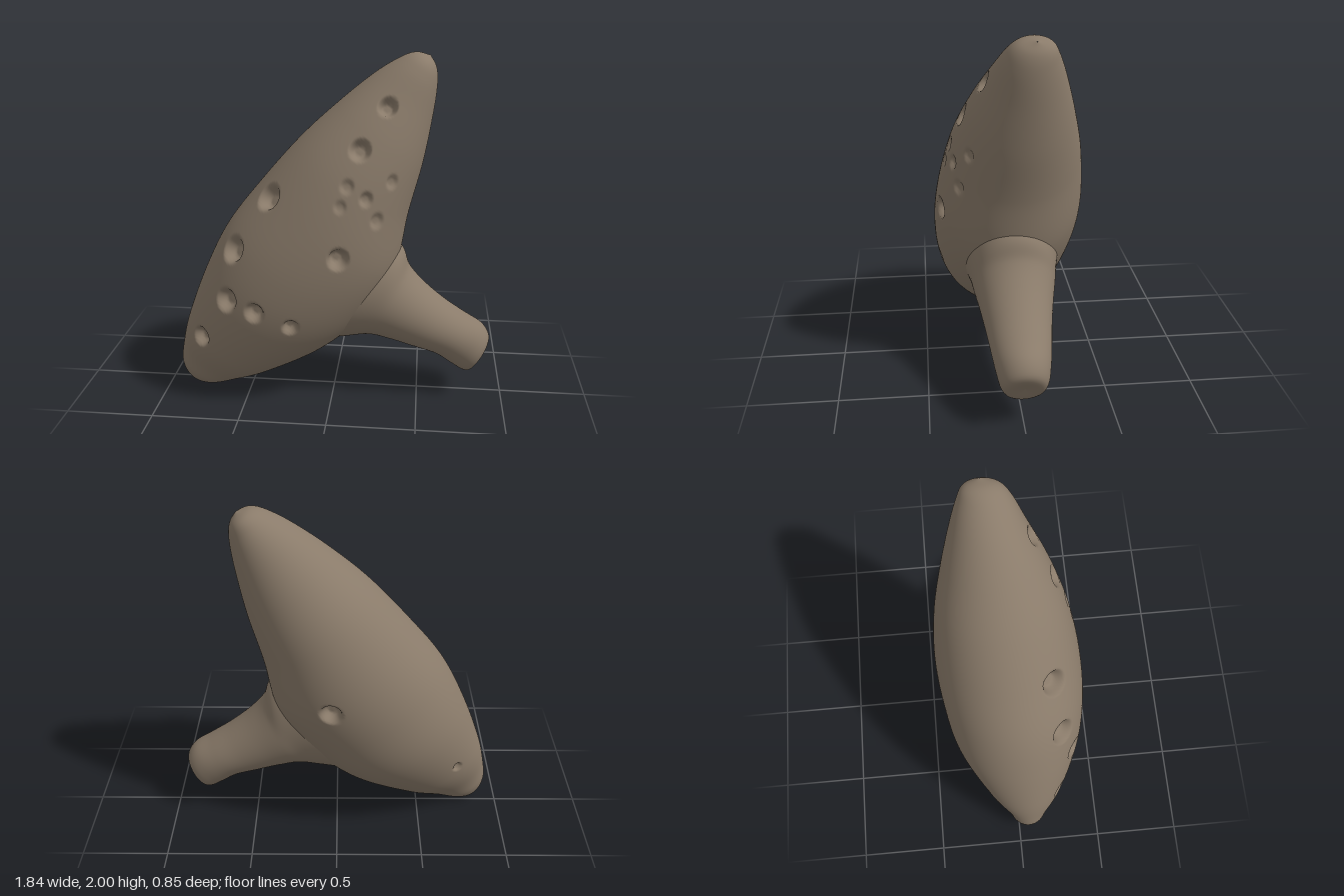
import * as THREE from 'three';

// Body sections along its slanted axis: [along, left, right, back z, front z]
const BODY = [
  [-0.015, 0.02, 0.02, 0.06, 0.06],
  [0, -0.06, 0.07, 0, 0.11],
  [0.05, -0.125, 0.135, -0.04, 0.16],
  [0.14, -0.175, 0.21, -0.08, 0.2],
  [0.33, -0.25, 0.345, -0.2, 0.3],
  [0.65, -0.33, 0.515, -0.345, 0.4],
  [0.95, -0.37, 0.59, -0.4, 0.43],
  [1.27, -0.352, 0.58, -0.42, 0.41],
  [1.6, -0.312, 0.44, -0.39, 0.345],
  [1.88, -0.25, 0.335, -0.33, 0.25],
  [2.12, -0.18, 0.225, -0.265, 0.14],
  [2.27, -0.115, 0.145, -0.215, 0.07],
  [2.345, -0.06, 0.085, -0.175, 0.01],
  [2.378, 0.015, 0.02, -0.09, -0.085],
];

// Mouthpiece sections: [upper x, upper y, lower x, lower y, half depth]
const SPOUT = [
  [0.2, 1.05, -0.15, 0.3, 0.3],
  [0.385, 0.9, 0.06, 0.33, 0.25],
  [0.44, 0.77, 0.2, 0.352, 0.23],
  [0.53, 0.665, 0.33, 0.325, 0.205],
  [0.65, 0.565, 0.46, 0.285, 0.182],
  [0.77, 0.485, 0.6, 0.24, 0.163],
  [0.87, 0.425, 0.7, 0.175, 0.145],
  [0.915, 0.36, 0.765, 0.135, 0.125],
  [0.91, 0.31, 0.805, 0.14, 0.09],
  [0.865, 0.245, 0.855, 0.235, 0],
];

// Finger holes and small dimples: [x, y, radius, depth, side]
const HOLES = [
  [0.3, 1.73, 0.06, 0.05, 1],
  [0.16, 1.52, 0.066, 0.05, 1],
  [-0.34, 1.235, 0.085, 0.06, 1],
  [-0.54, 0.94, 0.085, 0.06, 1],
  [0.06, 0.94, 0.066, 0.06, 1],
  [-0.58, 0.66, 0.075, 0.055, 1],
  [-0.41, 0.61, 0.062, 0.05, 1],
  [-0.21, 0.53, 0.052, 0.04, 1],
  [-0.75, 0.39, 0.066, 0.05, 1],
  [0.1, 1.33, 0.045, 0.015, 1],
  [0.07, 1.23, 0.04, 0.012, 1],
  [0.2, 1.26, 0.045, 0.022, 1],
  [0.33, 1.34, 0.045, 0.015, 1],
  [0.26, 1.14, 0.05, 0.016, 1],
  [0.03, 0.94, 0.068, 0.06, -1],
  [-0.72, 0.4, 0.035, 0.02, -1],
];

// Smooth skin over elliptical rings; rows are [xA, yA, xB, yB, back z, front z]
function loft(rows, rings, sides) {
  const curve = (f) => new THREE.CatmullRomCurve3(rows.map(f), false, 'catmullrom', 0.5);
  const edgeA = curve((r) => new THREE.Vector3(r[0], r[1], 0));
  const edgeB = curve((r) => new THREE.Vector3(r[2], r[3], 0));
  const depth = curve((r) => new THREE.Vector3(r[4], r[5], 0));
  edgeA.arcLengthDivisions = 600;
  const positions = [], index = [];
  for (let i = 0; i <= rings; i++) {
    const t = edgeA.getUtoTmapping(i / rings);
    const a = edgeA.getPoint(t), b = edgeB.getPoint(t), d = depth.getPoint(t);
    for (let j = 0; j < sides; j++) {
      const angle = (j / sides) * Math.PI * 2;
      const k = (1 + Math.cos(angle)) / 2;
      positions.push(
        a.x + (b.x - a.x) * k,
        a.y + (b.y - a.y) * k,
        (d.x + d.y) / 2 + ((d.y - d.x) / 2) * Math.sin(angle),
      );
      if (i === rings) continue;
      const p = i * sides + j, q = i * sides + ((j + 1) % sides);
      index.push(p, p + sides, q + sides, p, q + sides, q);
    }
  }
  const geometry = new THREE.BufferGeometry();
  geometry.setAttribute('position', new THREE.Float32BufferAttribute(positions, 3));
  geometry.setIndex(index);
  geometry.computeVertexNormals();
  return geometry;
}

// Push a round hollow into the skin at each hole
function pressHoles(geometry, holes) {
  const pos = geometry.attributes.position, nor = geometry.attributes.normal;
  const v = new THREE.Vector3();
  for (const [x, y, radius, depth, side] of holes) {
    let best = -1, bestDistance = Infinity;
    for (let i = 0; i < pos.count; i++) {
      if (nor.getZ(i) * side <= 0) continue;
      const distance = Math.hypot(pos.getX(i) - x, pos.getY(i) - y);
      if (distance < bestDistance) { bestDistance = distance; best = i; }
    }
    const centre = new THREE.Vector3().fromBufferAttribute(pos, best);
    const inward = new THREE.Vector3().fromBufferAttribute(nor, best).negate();
    for (let i = 0; i < pos.count; i++) {
      v.fromBufferAttribute(pos, i);
      const distance = v.distanceTo(centre);
      if (distance > radius) continue;
      const amount = 1 - THREE.MathUtils.smoothstep(distance, radius * 0.4, radius);
      v.addScaledVector(inward, depth * amount);
      pos.setXYZ(i, v.x, v.y, v.z);
    }
  }
  geometry.computeVertexNormals();
}

export function createModel() {
  const group = new THREE.Group();
  group.name = 'ocarina';
  const clay = new THREE.MeshStandardMaterial({ color: 0x8a7b6a });
  clay.name = 'brown clay';

  // Main chamber, leaning to the upper right
  const place = (s, t) => [-0.85 + 0.569 * s + 0.822 * t, 0.03 + 0.822 * s - 0.569 * t];
  const bodyRows = BODY.map(([s, l, r, back, front]) => [...place(s, l), ...place(s, r), back, front]);
  const bodyGeometry = loft(bodyRows, 220, 280);
  pressHoles(bodyGeometry, HOLES);
  const body = new THREE.Mesh(bodyGeometry, clay);
  body.name = 'body';

  // Mouthpiece flaring into the chamber
  const spoutRows = SPOUT.map(([ux, uy, lx, ly, d]) => [ux, uy, lx, ly, -d, d]);
  const mouthpiece = new THREE.Mesh(loft(spoutRows, 70, 72), clay);
  mouthpiece.name = 'mouthpiece';

  group.add(body, mouthpiece);
  return group;
}
